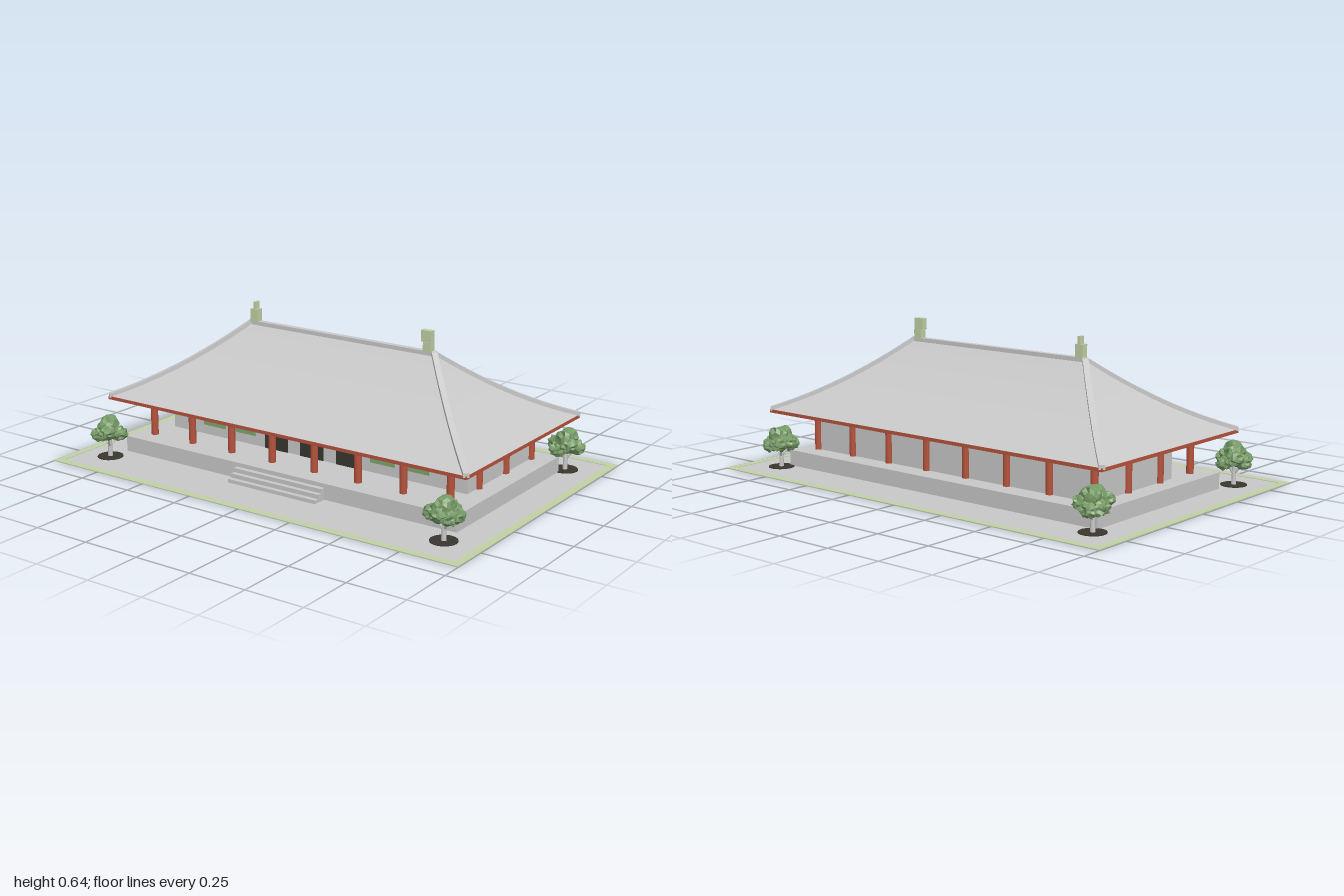
import * as THREE from 'three';

const mat = (name, color, flat = false) => {
  const m = new THREE.MeshStandardMaterial({ color, flatShading: flat });
  m.name = name;
  return m;
};
const stone = mat('pale grey stone', 0xc8c8c8);
const red = mat('red timber', 0xb5533c);
const lawn = mat('light green glaze', 0xc0d0a4);
const green = mat('window green', 0x7ea46e);
const leaf = mat('leaf green', 0x769a66, true);
const dark = mat('dark opening', 0x38362f);

const CZ = -0.037;                       // centre line of the hall
const EAVE = { x: 0.888, z: 0.461 }, RIDGE = { x: 0.465, z: 0.005 };
const roofY = t => 0.25 + 0.295 * (0.62 * t + 0.38 * t * t);
const lerp = THREE.MathUtils.lerp;

function add(parent, name, geo, material, x = 0, y = 0, z = 0) {
  const m = new THREE.Mesh(geo, material);
  m.name = name;
  m.position.set(x, y, z);
  parent.add(m);
  return m;
}

// Box given by its minimum and maximum on each axis
function block(parent, name, material, x0, x1, y0, y1, z0, z1) {
  return add(parent, name, new THREE.BoxGeometry(x1 - x0, y1 - y0, z1 - z0), material,
    (x0 + x1) / 2, (y0 + y1) / 2, (z0 + z1) / 2);
}

// Skin over four-cornered rings, closed at both ends, with hard edges
function loft(rings) {
  const pos = [];
  const quad = (a, b, c, d) => { for (const p of [a, b, c, a, c, d]) pos.push(...p); };
  for (let k = 0; k < rings.length - 1; k++) {
    for (let i = 0; i < 4; i++) {
      const j = (i + 1) % 4;
      quad(rings[k][i], rings[k][j], rings[k + 1][j], rings[k + 1][i]);
    }
  }
  const s = rings[0], e = rings[rings.length - 1];
  quad(s[3], s[2], s[1], s[0]);
  quad(e[0], e[1], e[2], e[3]);
  const g = new THREE.BufferGeometry();
  g.setAttribute('position', new THREE.Float32BufferAttribute(pos, 3));
  g.computeVertexNormals();
  return g;
}

function makeRoof() {
  const roof = new THREE.Group();
  roof.name = 'roof';
  const N = 12;
  const steps = Array.from({ length: N + 1 }, (_, i) => i / N);

  // Curved hipped slopes
  add(roof, 'roofSlopes', loft(steps.map(t => {
    const x = lerp(EAVE.x, RIDGE.x, t), z = lerp(EAVE.z, RIDGE.z, t), y = roofY(t);
    return [[x, y, CZ + z], [x, y, CZ - z], [-x, y, CZ - z], [-x, y, CZ + z]];
  })), stone);

  // Raised ribs along the four hips
  for (const sx of [-1, 1]) for (const sz of [-1, 1]) {
    const d = new THREE.Vector3(sx * (RIDGE.x - EAVE.x), 0, sz * (RIDGE.z - EAVE.z)).normalize();
    const s = new THREE.Vector3(0, 1, 0).cross(d).multiplyScalar(0.012);
    add(roof, 'hipRib', loft(steps.map(t => {
      const x = sx * lerp(EAVE.x, RIDGE.x, t), z = CZ + sz * lerp(EAVE.z, RIDGE.z, t), y = roofY(t);
      return [[-1, -0.006], [1, -0.006], [1, 0.012], [-1, 0.012]]
        .map(([a, h]) => [x + a * s.x, y + h, z + a * s.z]);
    })), stone);
  }

  block(roof, 'mainRidge', stone, -0.468, 0.468, 0.53, 0.555, CZ - 0.013, CZ + 0.013);
  block(roof, 'eaveBoard', red, -0.89, 0.89, 0.236, 0.25, CZ - 0.463, CZ + 0.463);

  // Ridge-end ornaments
  block(roof, 'leftRidgeEnd', lawn, 0.416, 0.452, 0.55, 0.592, CZ - 0.016, CZ + 0.016);
  block(roof, 'leftRidgeHead', lawn, 0.405, 0.452, 0.592, 0.64, CZ - 0.013, CZ + 0.013);
  block(roof, 'rightRidgeEnd', lawn, -0.458, -0.421, 0.55, 0.608, CZ - 0.016, CZ + 0.016);
  block(roof, 'rightRidgeFinial', lawn, -0.444, -0.432, 0.608, 0.64, CZ - 0.013, CZ + 0.013);
  return roof;
}

function makeHall() {
  const hall = new THREE.Group();
  hall.name = 'hall';
  block(hall, 'platform', stone, -0.83, 0.83, 0.002, 0.07, -0.444, 0.386);
  for (let i = 0; i < 3; i++) {
    block(hall, 'step', stone, -0.22, 0.22, 0.002, 0.0175 * (i + 1), 0.38, 0.449 - 0.021 * i);
  }
  block(hall, 'walls', stone, -0.745, 0.745, 0.07, 0.237, -0.352, 0.165);

  // Doors and windows on the front wall
  for (const x of [-0.183, 0, 0.183]) {
    block(hall, 'door', dark, x - 0.059, x + 0.059, 0.07, 0.207, 0.164, 0.169);
  }
  for (const x of [-0.515, -0.352, 0.352, 0.515]) {
    block(hall, 'window', green, x - 0.058, x + 0.058, 0.113, 0.213, 0.164, 0.172);
  }

  // Columns round the perimeter
  const shaft = new THREE.CylinderGeometry(0.0155, 0.0155, 0.168, 16);
  for (let i = 0; i < 8; i++) for (let k = 0; k < 4; k++) {
    if (i > 0 && i < 7 && k > 0 && k < 3) continue;
    const x = -0.747 + i * 0.2134, z = -0.352 + k * 0.2157;
    add(hall, 'column', shaft, red, x, 0.154, z);
    block(hall, 'columnCap', red, x - 0.018, x + 0.018, 0.231, 0.237, z - 0.018, z + 0.018);
  }
  return hall;
}

// Leafy clump: icosphere pushed in and out by a position hash
function clump(radius, seed) {
  const g = new THREE.IcosahedronGeometry(radius, 2);
  const p = g.attributes.position, v = new THREE.Vector3();
  for (let i = 0; i < p.count; i++) {
    v.fromBufferAttribute(p, i);
    const key = Math.round(v.x * 5e3) * 12.9 + Math.round(v.y * 5e3) * 78.2 + Math.round(v.z * 5e3) * 37.7;
    const h = Math.sin(key + seed * 4.1) * 0.5 + 0.5;
    v.multiplyScalar(0.76 + 0.4 * h);
    p.setXYZ(i, v.x, v.y, v.z);
  }
  g.computeVertexNormals();
  return g;
}

function makeTree(x, z, seed) {
  const tree = new THREE.Group();
  tree.name = 'tree';
  tree.position.set(x, 0, z);
  add(tree, 'treePit', new THREE.CylinderGeometry(0.055, 0.055, 0.003, 24), dark, 0, 0.0035, 0);
  add(tree, 'trunk', new THREE.CylinderGeometry(0.007, 0.011, 0.085, 8), stone, 0, 0.045, 0);
  for (let i = 0; i < 3; i++) {
    const a = i * 2.09 + seed;
    const branch = new THREE.LineCurve3(new THREE.Vector3(0, 0.045, 0),
      new THREE.Vector3(Math.cos(a) * 0.03, 0.085, Math.sin(a) * 0.03));
    add(tree, 'branch', new THREE.TubeGeometry(branch, 1, 0.004, 6), stone);
  }
  for (let i = 0; i < 6; i++) {
    const a = i * Math.PI / 3 + seed;
    const c = add(tree, 'foliage', clump(0.036, seed + i), leaf,
      Math.cos(a) * 0.044, 0.11 + 0.012 * Math.sin(i * 2.4 + seed), Math.sin(a) * 0.044);
    c.scale.y = 0.85;
  }
  add(tree, 'foliageTop', clump(0.046, seed + 9), leaf, 0, 0.14, 0);
  return tree;
}

function makeGround() {
  const ground = new THREE.Group();
  ground.name = 'ground';
  block(ground, 'paving', stone, -1, 1, 0, 0.002, -0.663, 0.663);
  // Planted border as a thin frame
  const rect = (Path, x, z) => new Path([[-x, -z], [x, -z], [x, z], [-x, z]]
    .map(([a, b]) => new THREE.Vector2(a, b)));
  const frame = rect(THREE.Shape, 1, 0.663);
  frame.holes.push(rect(THREE.Path, 0.966, 0.629));
  const g = new THREE.ExtrudeGeometry(frame, { depth: 0.003, bevelEnabled: false });
  add(ground, 'border', g.rotateX(-Math.PI / 2), lawn, 0, 0.001, 0);
  return ground;
}

export function createModel() {
  const model = new THREE.Group();
  model.name = 'courtyardHall';
  model.add(makeGround(), makeHall(), makeRoof());
  [[-0.84, 0.482], [0.832, 0.482], [-0.842, -0.488], [0.838, -0.488]]
    .forEach(([x, z], i) => model.add(makeTree(x, z, 1 + i * 1.7)));
  return model;
}
